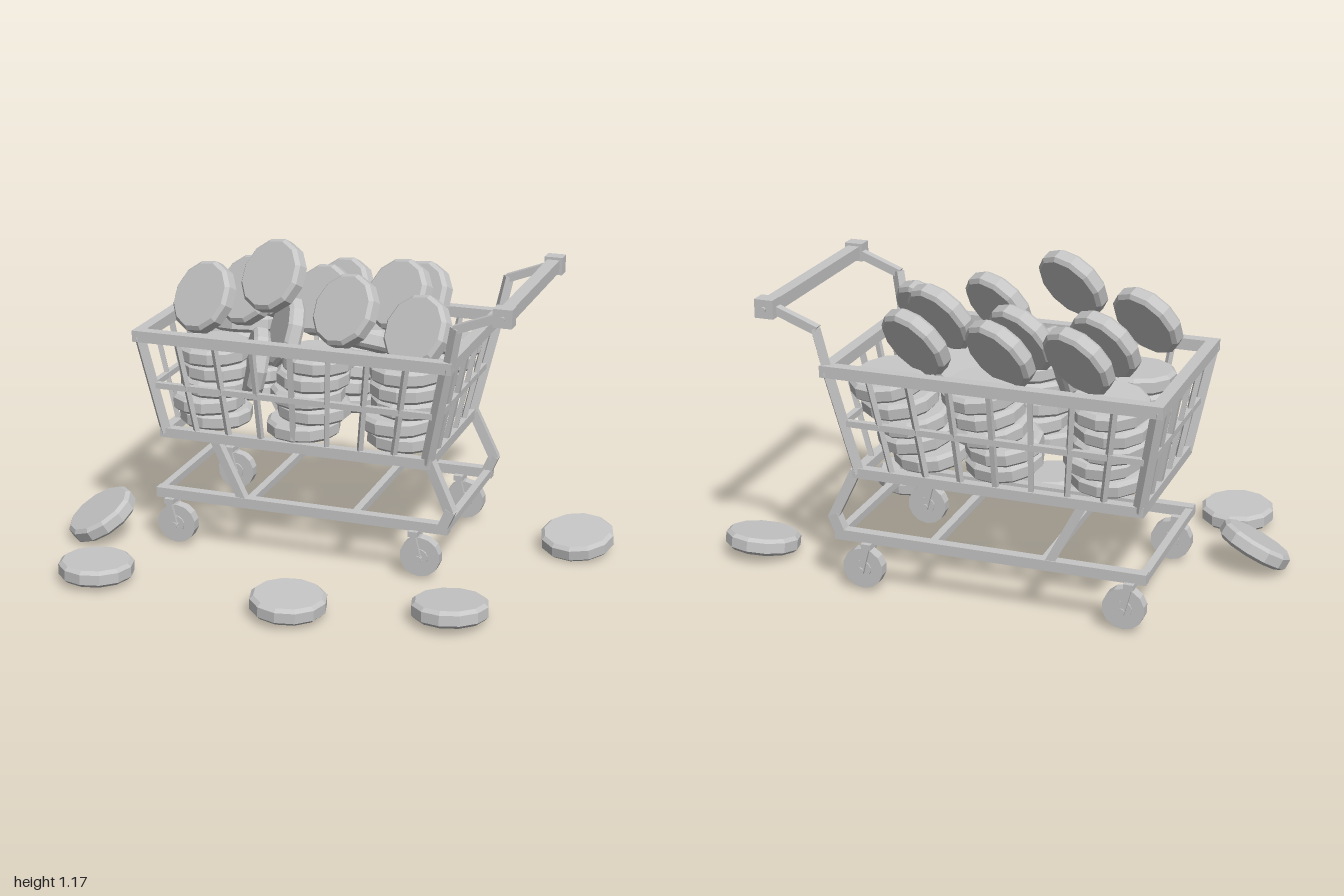
import * as THREE from 'three';

export function createModel() {
  const model = new THREE.Group();
  const grey = new THREE.MeshStandardMaterial({ color: 0xc6c6c6, flatShading: true });
  grey.name = 'light grey';
  const V = (x, y, z) => new THREE.Vector3(x, y, z);
  const MID = -0.25; // centre line of the cart in z

  const add = (parent, name, geometry, pos) => {
    const mesh = new THREE.Mesh(geometry, grey);
    mesh.name = name;
    mesh.position.copy(pos);
    parent.add(mesh);
    return mesh;
  };
  const group = (name) => {
    const g = new THREE.Group();
    g.name = name;
    model.add(g);
    return g;
  };
  // Square beam between two points
  const beam = (parent, name, a, b, w, h = w) => {
    const m = add(parent, name, new THREE.BoxGeometry(w, h, a.distanceTo(b)), a.clone().lerp(b, 0.5));
    m.lookAt(b);
    return m;
  };

  // Basket: rectangular loops that widen upwards
  const basket = group('basket');
  const corners = (y) => {
    const t = (y - 0.445) / 0.38;
    const cx = -0.105 + 0.005 * t, hx = 0.505 + 0.076 * t, hz = 0.292 + 0.055 * t;
    return [[-1, 1], [1, 1], [1, -1], [-1, -1]].map(([sx, sz]) => V(cx + sx * hx, y, MID + sz * hz));
  };
  const low = corners(0.445), high = corners(0.825);
  for (const [name, y, w] of [['bottomRim', 0.445, 0.036], ['middleRail', 0.632, 0.022], ['topRim', 0.825, 0.042]]) {
    const c = corners(y);
    c.forEach((p, i) => {
      const q = c[(i + 1) % 4];
      const d = q.clone().sub(p).setLength(w / 2);
      beam(basket, name, p.clone().sub(d), q.clone().add(d), w);
    });
  }
  // Corner posts and upright wires
  for (let i = 0; i < 4; i++) {
    const j = (i + 1) % 4, n = i % 2 ? 5 : 8;
    beam(basket, 'cornerPost', low[i], high[i], 0.034);
    for (let k = 1; k < n; k++) {
      beam(basket, 'basketWire', low[i].clone().lerp(low[j], k / n), high[i].clone().lerp(high[j], k / n), 0.018);
    }
  }

  // Lower frame, legs and handle arms, mirrored about the centre line
  const frame = group('frame');
  const handle = group('handle');
  for (const s of [1, -1]) {
    const z = MID + s * 0.3;
    beam(frame, 'baseRail', V(-0.645, 0.208, z), V(0.488, 0.208, z), 0.038);
    beam(frame, 'frontLeg', V(-0.415, 0.44, MID + s * 0.29), V(-0.3, 0.215, z), 0.032);
    beam(frame, 'rearLeg', V(0.41, 0.45, MID + s * 0.29), V(0.495, 0.27, z), 0.036);
    beam(frame, 'rearFoot', V(0.495, 0.28, z), V(0.465, 0.21, z), 0.038);
    const zt = MID + s * 0.355;
    beam(handle, 'handleUpright', V(0.485, 0.82, MID + s * 0.337), V(0.515, 0.975, zt), 0.032);
    beam(handle, 'handleArm', V(0.508, 0.968, zt), V(0.67, 1.03, zt), 0.03);
    add(handle, 'handleCap', new THREE.BoxGeometry(0.068, 0.066, 0.056), V(0.685, 1.034, MID + s * 0.368));
    const pin = add(handle, 'handlePin', new THREE.CylinderGeometry(0.009, 0.009, 0.02, 8), V(0.685, 1.034, MID + s * 0.394));
    pin.rotation.x = Math.PI / 2;
  }
  beam(handle, 'handleBar', V(0.685, 1.034, MID - 0.37), V(0.685, 1.034, MID + 0.37), 0.046);
  for (const x of [-0.632, -0.28, 0.13, 0.472]) {
    beam(frame, 'crossBar', V(x, 0.208, MID - 0.3), V(x, 0.208, MID + 0.3), 0.028);
  }

  // Caster wheels with hubs and slanted forks
  const wheels = group('wheels');
  for (const x of [-0.567, 0.385]) {
    for (const s of [1, -1]) {
      const z = MID + s * 0.297;
      for (const [name, r, w] of [['wheel', 0.075, 0.04], ['hub', 0.032, 0.052], ['axle', 0.012, 0.09]]) {
        add(wheels, name, new THREE.CylinderGeometry(r, r, w, 14), V(x, 0.09, z)).rotation.x = Math.PI / 2;
      }
      add(wheels, 'forkTop', new THREE.BoxGeometry(0.036, 0.02, 0.08), V(x - 0.022, 0.182, z));
      for (const e of [1, -1]) {
        beam(wheels, 'forkSide', V(x - 0.026, 0.19, z + e * 0.034), V(x + 0.002, 0.08, z + e * 0.034), 0.012, 0.022);
      }
    }
  }

  // Bevelled twelve-sided disc
  const R = 0.137, H = 0.031;
  const discGeometry = new THREE.LatheGeometry(
    [[0, -H], [R * 0.9, -H], [R, -H * 0.6], [R, H * 0.6], [R * 0.9, H], [0, H]].map(([x, y]) => new THREE.Vector2(x, y)), 12);
  const disc = (parent, name, x, y, z, n, turn = 0) => {
    const m = add(parent, name, discGeometry, V(x, y, z));
    m.quaternion.setFromUnitVectors(V(0, 1, 0), V(...n).normalize());
    m.rotateY(turn);
  };

  // Stacks inside the basket; the back row leans
  const stacks = group('discStacks');
  for (const [front, back, lean] of [[-0.48, -0.44, -0.01], [-0.1, -0.09, 0.022], [0.26, 0.2, 0.03]]) {
    for (let k = 0; k < 5; k++) {
      const wob = Math.sin(k * 2.4 + front * 9) * 0.014;
      disc(stacks, 'stackedDisc', front + wob + k * 0.008, 0.492 + k * 0.063, -0.09 - wob, [wob, 1, 0.02], k * 0.7);
      disc(stacks, 'stackedDisc', back - wob + k * lean, 0.5 + k * 0.064, -0.38 - k * 0.012, [lean * 3, 1, -0.16], k * 0.9);
    }
  }

  // Discs leaning on top of the stacks
  const leaning = group('leaningDiscs');
  for (const [x, y, z] of [
    [-0.365, 0.91, -0.45], [-0.085, 0.9, -0.44], [0.215, 0.91, -0.45],
    [-0.405, 0.92, -0.285], [-0.11, 0.91, -0.285], [0.185, 0.955, -0.29],
    [-0.488, 0.945, -0.06], [-0.216, 1.05, -0.06], [0.059, 0.945, -0.06], [0.324, 0.89, -0.07],
  ]) disc(leaning, 'leaningDisc', x, y, z, [-0.37, 0.49, 0.79]);

  // Discs wedged between the stacks
  disc(leaning, 'wedgedDisc', -0.29, 0.71, -0.06, [-0.88, 0.2, 0.42]);
  disc(leaning, 'wedgedDisc', -0.22, 0.8, -0.19, [-0.8, 0.3, 0.5]);
  disc(leaning, 'wedgedDisc', 0.09, 0.78, -0.25, [0.1, 1, -0.42]);

  // Discs lying on the floor
  const floor = group('fallenDiscs');
  for (const [x, y, z, n] of [
    [0.047, 0.055, 0.51, [0.04, 1, 0.02]],
    [-0.712, 0.052, 0.455, [0, 1, -0.03]],
    [-0.865, 0.094, 0.085, [-0.42, 0.87, 0.3]],
    [0.588, 0.053, 0.369, [-0.03, 1, -0.08]],
    [0.863, 0.057, -0.386, [-0.05, 1, 0.17]],
  ]) disc(floor, 'fallenDisc', x, y, z, n);

  return model;
}
